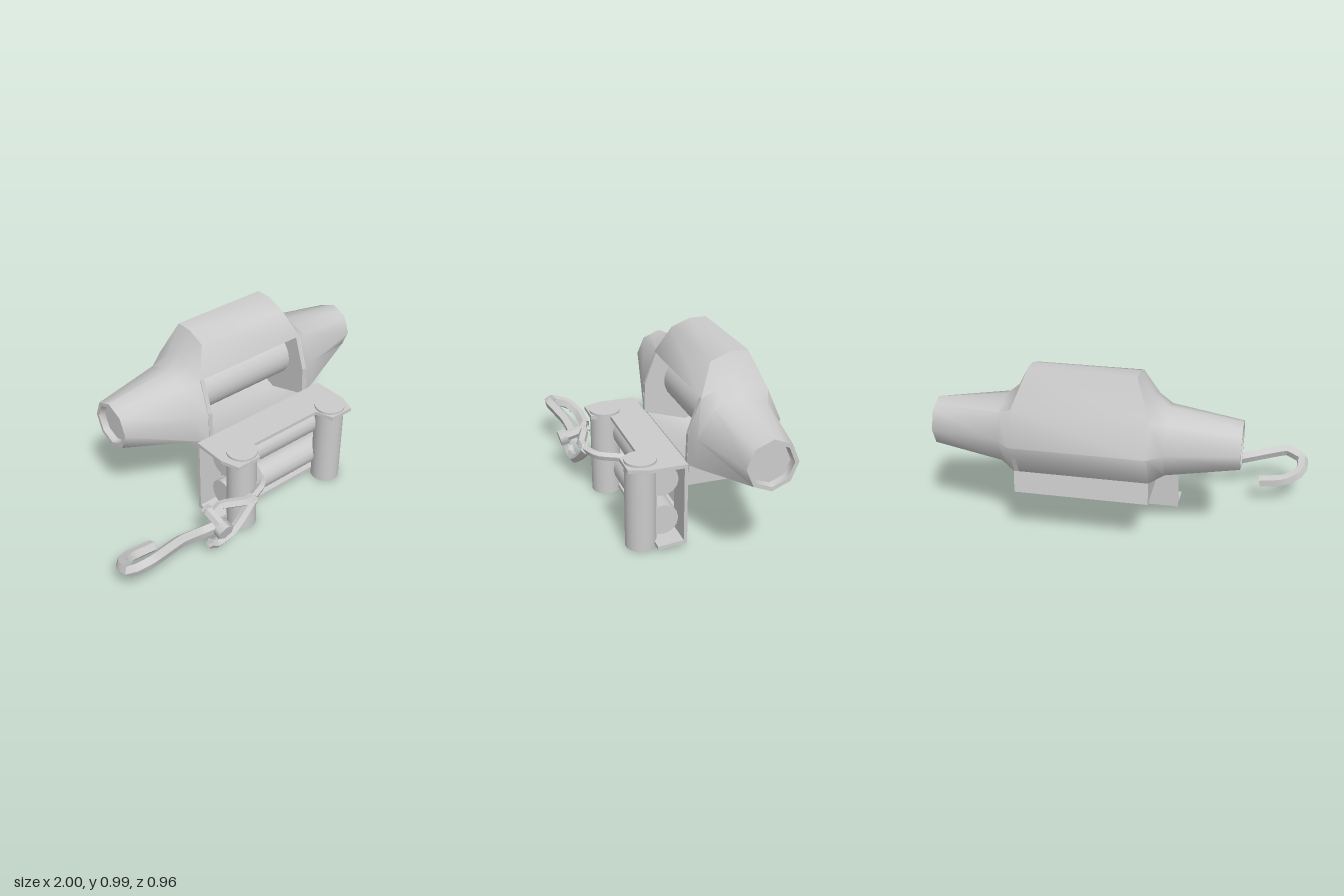
import * as THREE from 'three';
import { toCreasedNormals } from 'three/addons/utils/BufferGeometryUtils.js';

const mat = new THREE.MeshStandardMaterial({ color: 0xcccccc, side: THREE.DoubleSide });
const MID = 0.18; // x of the winch centre
const AXIS = { z: -0.225, y: 0.615 };

export function createModel() {
  const group = new THREE.Group();
  const add = (name, geo, x = 0, y = 0, z = 0) => {
    const m = new THREE.Mesh(geo, mat);
    m.name = name;
    m.position.set(x, y, z);
    group.add(m);
    return m;
  };

  // Skin a list of rings of [x, y, z] points; skip(i, j) leaves a face open
  const loft = (rings, crease, skip = () => false) => {
    const n = rings[0].length, index = [];
    for (let i = 0; i < rings.length - 1; i++) for (let j = 0; j < n; j++) {
      if (skip(i, j)) continue;
      const a = i * n + j, b = i * n + (j + 1) % n;
      index.push(a, a + n, b, b, a + n, b + n);
    }
    const g = new THREE.BufferGeometry();
    g.setAttribute('position', new THREE.Float32BufferAttribute(rings.flat(2), 3));
    g.setIndex(index);
    return toCreasedNormals(g, crease);
  };

  // Housing cross-sections as [z, y], from the lower front corner over the top
  const body = [[0.025, 0.44], [0.02, 0.605], [-0.045, 0.79], [-0.12, 0.95], [-0.225, 0.99],
    [-0.32, 0.99], [-0.405, 0.795], [-0.485, 0.615], [-0.41, 0.44], [-0.225, 0.365]];
  const shoulder = body.map((p, i) => ({ 3: [-0.13, 0.828], 4: [-0.225, 0.86], 5: [-0.32, 0.828] }[i] || p));
  const neck = [[0, 0.45], [0, 0.605], [-0.085, 0.755], [-0.155, 0.778], [-0.225, 0.8],
    [-0.295, 0.778], [-0.37, 0.755], [-0.425, 0.615], [-0.37, 0.475], [-0.225, 0.42]];
  const octagon = (r) => [-45, 0, 45, 67.5, 90, 112.5, 135, 180, 225, 270].map((d) => {
    const a = THREE.MathUtils.degToRad(d), k = d % 45 ? r * Math.cos(Math.PI / 8) : r;
    return [AXIS.z + k * Math.cos(a), AXIS.y + k * Math.sin(a)];
  });

  // Half the housing, from the recessed end cap to the raised middle
  const sections = [[0.785, octagon(0)], [0.785, octagon(0.105)], [0.82, octagon(0.112)],
    [0.82, octagon(0.134)], [0.435, neck], [0.36, shoulder], [0.285, body]];
  const half = (s) => sections.map(([d, pts], k) => pts.map(([z, y], i) =>
    [MID + s * (k === 6 && (i < 3 || i > 5) ? 0.36 : d), y, z]));
  const rings = [...half(-1), ...half(1).reverse()];
  // The front of the middle span stays open
  add('housing', loft(rings, 0.9, (i, j) => i === 6 && j < 2));

  // Walls at either side of the opening
  const wallShape = new THREE.Shape(shoulder.map(([z, y]) => new THREE.Vector2(-z, y)));
  for (const x of [MID - 0.358, MID + 0.333]) {
    const g = new THREE.ExtrudeGeometry(wallShape, { depth: 0.025, bevelEnabled: false });
    g.rotateY(Math.PI / 2);
    add('drumWall', g, x);
  }

  // Cylinder lying along x
  const roller = (name, r, len, sides, y, z) => {
    const g = new THREE.CylinderGeometry(r, r, len, sides);
    g.rotateZ(Math.PI / 2);
    return add(name, g, MID - 0.005, y, z);
  };
  roller('cableDrum', 0.13, 0.69, 24, AXIS.y, AXIS.z);

  // Open mounting skirt below the housing
  const rect = (y, z0, z1) => [[MID - 0.36, y, z0], [MID + 0.36, y, z0], [MID + 0.36, y, z1], [MID - 0.36, y, z1]];
  add('mountingSkirt', loft([rect(0.44, -0.41, 0.01), rect(0.32, -0.425, 0.028)], 0.3));

  // Fairlead bracket: back plate with a window, eared top plate, sloping bottom plate
  const FX = 0.17;
  const polygon = (pts) => new THREE.Shape(pts.map(([x, y]) => new THREE.Vector2(x, y)));
  const plate = (shape, depth) => new THREE.ExtrudeGeometry(shape, { depth, bevelEnabled: false });
  const back = polygon([[-0.45, 0.03], [0.45, 0.03], [0.45, 0.483], [-0.45, 0.483]]);
  back.holes.push(polygon([[-0.3, 0.16], [-0.3, 0.36], [0.3, 0.36], [0.3, 0.16]]));
  add('fairleadBackPlate', plate(back, 0.018), FX, 0, 0.048);

  const ear = [[0.45, 0.05], [0.45, 0.25], [0.415, 0.352], [0.27, 0.352], [0.235, 0.25]];
  const topShape = polygon([...ear, ...ear.map(([x, z]) => [-x, z]).reverse()]);
  add('fairleadTopPlate', plate(topShape, 0.02).rotateX(Math.PI / 2), FX, 0.483, 0);

  const lip = polygon([[-0.05, 0.03], [-0.205, 0.017], [-0.205, 0.037], [-0.06, 0.05]]);
  add('fairleadBottomPlate', plate(lip, 0.9).rotateY(Math.PI / 2), FX - 0.45);

  // Rollers
  for (const y of [0.145, 0.37]) roller('horizontalRoller', 0.084, 0.74, 14, y, 0.154);
  for (const s of [-1, 1]) {
    const x = FX + 0.008 + s * 0.325;
    add('verticalRoller', new THREE.CylinderGeometry(0.082, 0.082, 0.485, 24), x, 0.2425, 0.261);
    add('rollerCap', new THREE.CylinderGeometry(0.084, 0.084, 0.012, 24), x, 0.489, 0.261);
  }

  // Faceted bars swept along a path
  const bar = (name, pts, r, sides = 5, closed = false) => {
    const curve = new THREE.CatmullRomCurve3(pts.map((p) => new THREE.Vector3(...p)), closed, 'catmullrom', 0.2);
    const g = new THREE.TubeGeometry(curve, pts.length * 3, r, sides, closed);
    add(name, toCreasedNormals(g, 0.5));
  };
  bar('hook', [[-0.73, 0.14, 0.235], [-0.87, 0.16, 0.24], [-0.96, 0.2, 0.29], [-0.965, 0.235, 0.39],
    [-0.87, 0.265, 0.425], [-0.65, 0.225, 0.37], [-0.5, 0.185, 0.355], [-0.42, 0.205, 0.385]], 0.034);
  bar('shackle', [[-0.4, 0.24, 0.33], [-0.35, 0.275, 0.335], [-0.22, 0.262, 0.385], [-0.15, 0.255, 0.375],
    [-0.26, 0.16, 0.39], [-0.34, 0.115, 0.4], [-0.44, 0.1, 0.4], [-0.48, 0.13, 0.4]], 0.027);
  bar('cable', [[0.06, 0.25, 0.03], [0, 0.25, 0.2], [-0.06, 0.255, 0.33], [-0.19, 0.258, 0.385]], 0.024);

  // Shackle pin with a hexagonal head
  bar('shacklePin', [[-0.42, 0.265, 0.29], [-0.42, 0.225, 0.44]], 0.03, 6);
  const head = add('pinHead', new THREE.CylinderGeometry(0.05, 0.05, 0.045, 6), -0.425, 0.222, 0.445);
  head.rotation.x = Math.PI / 2 + 0.26;

  return group;
}
